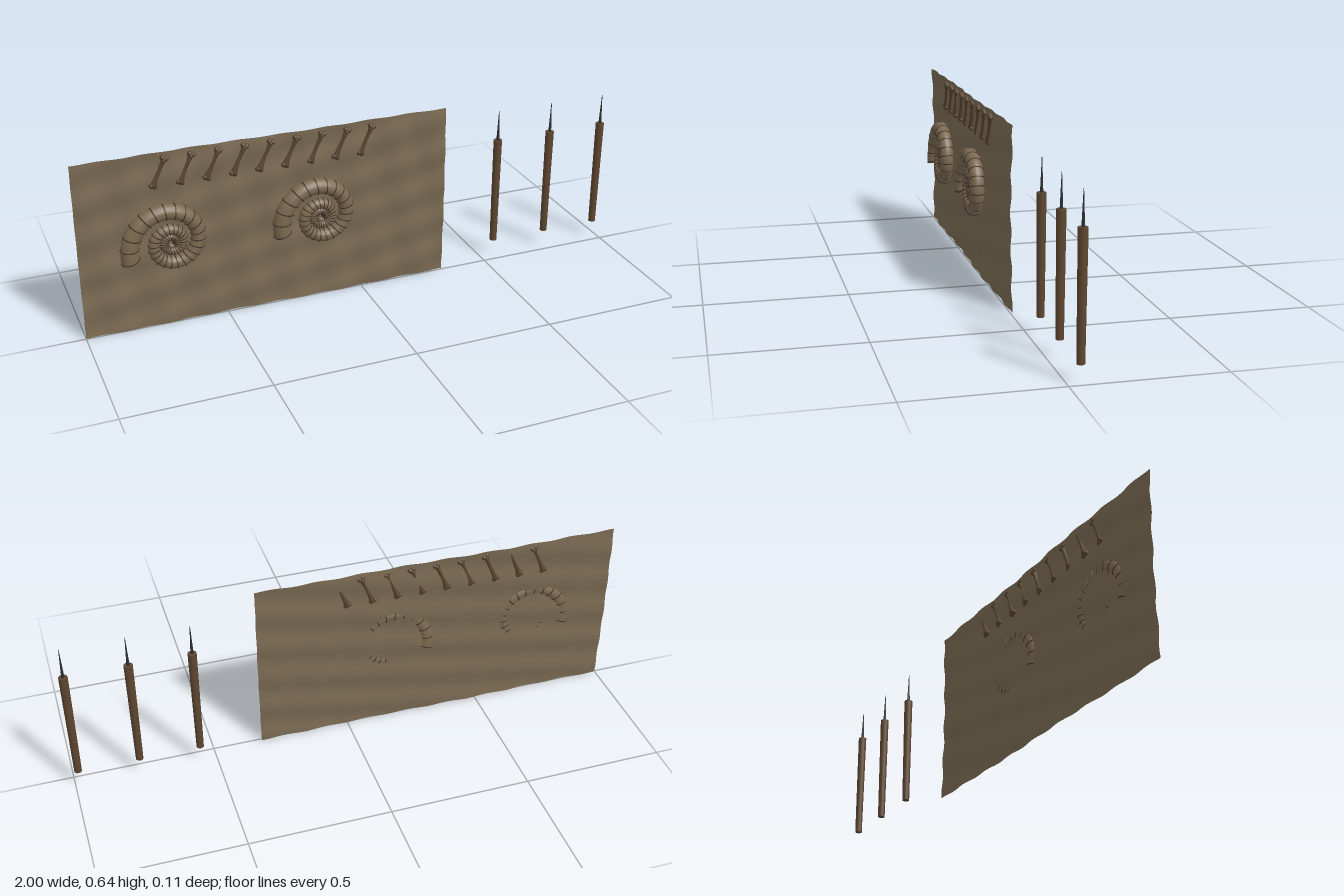
import * as THREE from 'three';
import { ParametricGeometry } from 'three/addons/geometries/ParametricGeometry.js';

const flat = (name, color, extra = {}) => {
  const m = new THREE.MeshStandardMaterial({ color, ...extra });
  m.name = name;
  return m;
};
const stone = flat('stone', 0x7a6a52, { side: THREE.DoubleSide });
const shellTan = flat('shell tan', 0x7c6a50);
const ribBrown = flat('rib brown', 0x43352a);
const boneBrown = flat('bone brown', 0x59452f);
const wood = flat('handle wood', 0x5e4630);
const steel = flat('dark steel', 0x2c2f30);

function add(parent, name, geometry, material, x = 0, y = 0, z = 0) {
  const mesh = new THREE.Mesh(geometry, material);
  mesh.name = name;
  mesh.position.set(x, y, z);
  parent.add(mesh);
  return mesh;
}

// Thin rippled rock sheet
function makeSlab(parent) {
  const geo = new THREE.PlaneGeometry(1.325, 0.64, 120, 60);
  const p = geo.attributes.position;
  for (let i = 0; i < p.count; i++) {
    const x = p.getX(i), y = p.getY(i);
    p.setZ(i, 0.003 * Math.sin(40 * x + 8 * y) + 0.0025 * Math.sin(48 * y - 9 * x));
  }
  geo.computeVertexNormals();
  add(parent, 'slab', geo, stone, -0.3375, 0.32, -0.0035);
}

// Coiled shell: the spiral runs clockwise from the mouth inwards
const TURNS = 3;
const START = THREE.MathUtils.degToRad(197);
function spiral(t) {
  const a = START - t * Math.PI * 2;
  const d = 0.148 * Math.pow(0.42, t);
  return {
    a,
    r: 0.0315 * Math.pow(0.66, t),
    centre: new THREE.Vector3(d * Math.cos(a), d * Math.sin(a), 0),
    tangent: new THREE.Vector3(Math.sin(a), -Math.cos(a), 0),
  };
}
function makeShell() {
  const g = new THREE.Group();
  g.name = 'coiledShell';
  const tube = new ParametricGeometry((u, v, target) => {
    const s = spiral(u * TURNS);
    const w = v * Math.PI * 2;
    const out = s.r * Math.cos(w);
    target.set(s.centre.x + out * Math.cos(s.a), s.centre.y + out * Math.sin(s.a), -s.r * Math.sin(w));
  }, 200, 18);
  add(g, 'shellTube', tube, shellTan);

  const forward = new THREE.Vector3(0, 0, 1);
  const s0 = spiral(0);
  const mouth = add(g, 'shellMouth', new THREE.CircleGeometry(s0.r, 18), shellTan);
  mouth.position.copy(s0.centre);
  mouth.quaternion.setFromUnitVectors(forward, s0.tangent.clone().negate());

  // Raised growth ribs
  const perTurn = 22;
  for (let i = 0; i < perTurn * 2.7; i++) {
    const s = spiral(i / perTurn);
    const rib = add(g, 'shellRib', new THREE.TorusGeometry(s.r, 0.0012 + s.r * 0.035, 5, 20), ribBrown);
    rib.position.copy(s.centre);
    rib.quaternion.setFromUnitVectors(forward, s.tangent);
  }
  return g;
}

// Small long bone with a flared shaft and paired knuckles
function makeBone() {
  const g = new THREE.Group();
  g.name = 'bone';
  const profile = [[0, -0.056], [0.011, -0.054], [0.0115, -0.048], [0.008, -0.03], [0.006, 0],
    [0.0065, 0.025], [0.009, 0.045], [0.009, 0.053], [0, 0.056]];
  add(g, 'boneShaft', new THREE.LatheGeometry(profile.map(([x, y]) => new THREE.Vector2(x, y)), 12), boneBrown);
  const knuckle = new THREE.SphereGeometry(0.0095, 10, 8);
  for (const y of [-0.052, 0.053]) {
    for (const x of [-0.006, 0.006]) add(g, 'boneKnuckle', knuckle, boneBrown, x, y, 0);
  }
  return g;
}

// Scribing tool: tapered handle with a fine point
function makeTool() {
  const g = new THREE.Group();
  g.name = 'scribingTool';
  add(g, 'toolHandle', new THREE.CylinderGeometry(0.0155, 0.013, 0.408, 16), wood, 0, 0.264, 0);
  add(g, 'toolPoint', new THREE.CylinderGeometry(0.0008, 0.0055, 0.112, 10), steel, 0, 0.524, 0);
  return g;
}

export function createModel() {
  const model = new THREE.Group();
  model.name = 'fossilSlabWithTools';
  makeSlab(model);

  for (const x of [-0.69, -0.158]) {
    const shell = makeShell();
    shell.position.set(x, 0.32, 0.0225);
    model.add(shell);
  }

  for (let i = 0; i < 9; i++) {
    const bone = makeBone();
    bone.position.set(-0.712 + i * 0.0915, 0.57, -0.001);
    bone.rotation.set(0.04, 0, -0.42);
    model.add(bone);
  }

  for (const x of [0.555, 0.77, 0.984]) {
    const tool = makeTool();
    tool.position.set(x, 0, -0.04);
    model.add(tool);
  }
  return model;
}
